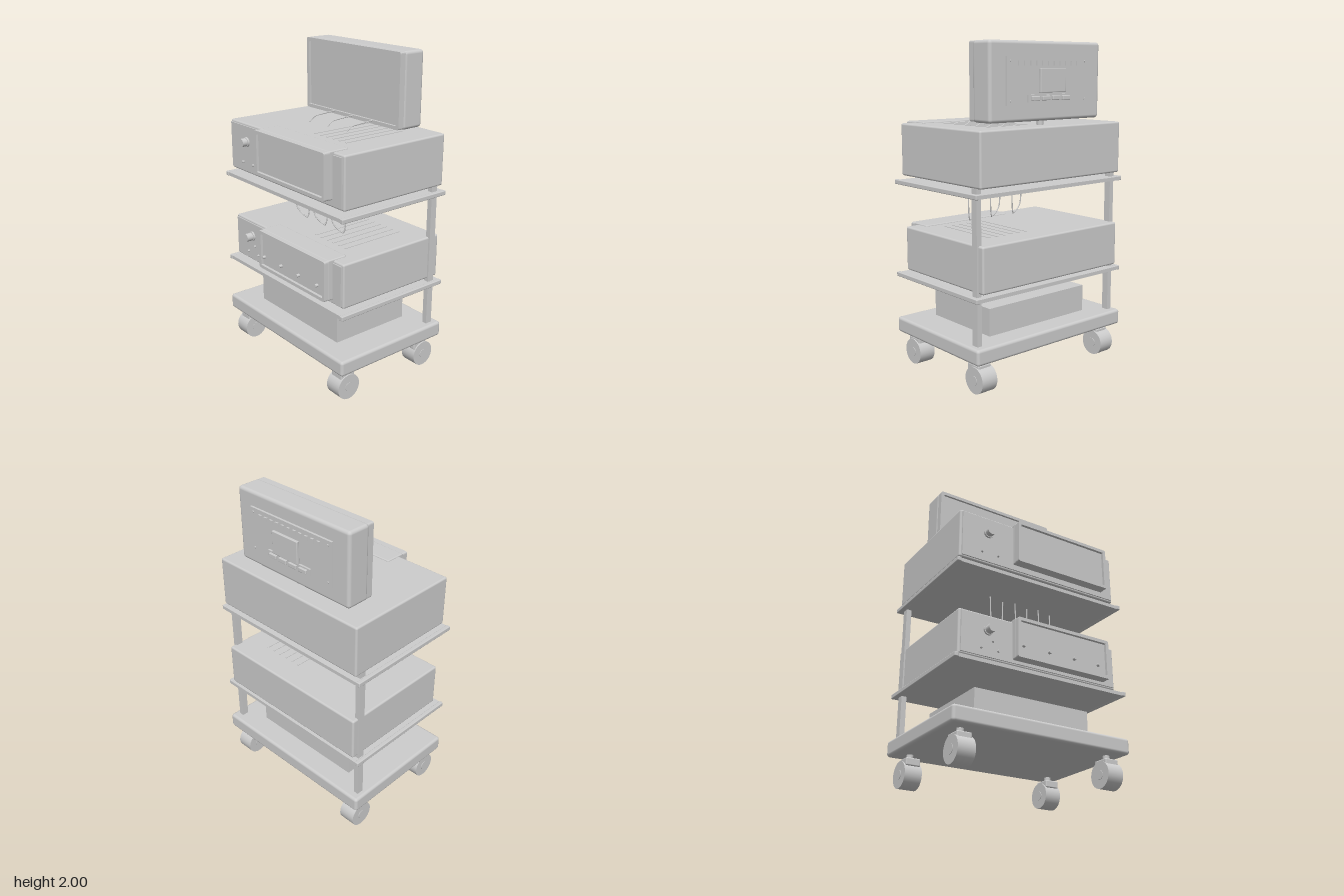
import * as THREE from 'three';
import { RoundedBoxGeometry } from 'three/addons/geometries/RoundedBoxGeometry.js';

export function createModel() {
  const model = new THREE.Group();
  model.name = 'equipmentCart';
  const grey = new THREE.MeshStandardMaterial({ color: 0xcccccc });
  grey.name = 'lightGrey';

  function add(name, geometry, parent = model) {
    const mesh = new THREE.Mesh(geometry, grey);
    mesh.name = name;
    parent.add(mesh);
    return mesh;
  }
  // Box given by its limits on each axis; r rounds the edges
  function box(name, x0, x1, y0, y1, z0, z1, r = 0, parent = model) {
    const s = [x1 - x0, y1 - y0, z1 - z0];
    const g = r ? new RoundedBoxGeometry(...s, 3, r) : new THREE.BoxGeometry(...s);
    const mesh = add(name, g, parent);
    mesh.position.set((x0 + x1) / 2, (y0 + y1) / 2, (z0 + z1) / 2);
    return mesh;
  }
  // Cylinder along z
  function button(name, x, y, z0, z1, r, parent = model) {
    const g = new THREE.CylinderGeometry(r, r, z1 - z0, 20).rotateX(Math.PI / 2);
    add(name, g, parent).position.set(x, y, (z0 + z1) / 2);
  }
  // Flat rectangular frame with rounded corners, extruded from z0 to z1
  function rectPath(path, x0, x1, y0, y1, r) {
    path.moveTo(x0 + r, y0);
    path.lineTo(x1 - r, y0).quadraticCurveTo(x1, y0, x1, y0 + r);
    path.lineTo(x1, y1 - r).quadraticCurveTo(x1, y1, x1 - r, y1);
    path.lineTo(x0 + r, y1).quadraticCurveTo(x0, y1, x0, y1 - r);
    path.lineTo(x0, y0 + r).quadraticCurveTo(x0, y0, x0 + r, y0);
    return path;
  }
  function frame(name, x0, x1, y0, y1, z0, z1, w, parent = model) {
    const shape = rectPath(new THREE.Shape(), x0, x1, y0, y1, 0.012);
    shape.holes.push(rectPath(new THREE.Path(), x0 + w, x1 - w, y0 + w, y1 - w, 0.004));
    const g = new THREE.ExtrudeGeometry(shape, { depth: z1 - z0, bevelEnabled: false, curveSegments: 4 });
    add(name, g, parent).position.z = z0;
  }
  function cable(name, points) {
    const curve = new THREE.CatmullRomCurve3(points.map((p) => new THREE.Vector3(...p)), false, 'catmullrom', 0.3);
    add(name, new THREE.TubeGeometry(curve, 24, 0.004, 6));
  }

  // Casters
  for (const x of [-0.492, 0.487]) {
    for (const [z, stemZ] of [[0.29, 0.29], [-0.33, -0.31]]) {
      const caster = new THREE.Group();
      caster.name = 'caster';
      model.add(caster);
      const wheel = add('wheel', new THREE.CylinderGeometry(0.08, 0.08, 0.108, 28).rotateZ(Math.PI / 2), caster);
      wheel.position.set(x, 0.08, z);
      const hub = add('hub', new THREE.CylinderGeometry(0.028, 0.028, 0.114, 16).rotateZ(Math.PI / 2), caster);
      hub.position.set(x, 0.08, z);
      box('casterHousing', x - 0.046, x + 0.046, 0.125, 0.172, stemZ - 0.052, stemZ + 0.052, 0.008, caster);
      add('stem', new THREE.CylinderGeometry(0.02, 0.02, 0.05, 16), caster).position.set(x, 0.185, stemZ);
    }
  }

  // Base platform, lower case and rear posts
  box('basePlatform', -0.59, 0.59, 0.2, 0.297, -0.43, 0.387, 0.018);
  box('lowerCase', -0.39, 0.387, 0.295, 0.465, -0.285, 0.255);
  for (const x of [-0.54, 0.537]) box('post', x - 0.016, x + 0.016, 0.29, 1.21, -0.38, -0.336);

  // Shelves with side rails and end caps
  for (const y of [0.562, 1.146]) {
    box('shelf', -0.57, 0.57, y + 0.002, y + 0.024, -0.42, 0.38);
    for (const s of [-1, 1]) {
      box('shelfRail', s * 0.575 - 0.013, s * 0.575 + 0.013, y, y + 0.028, -0.42, 0.385, 0.005);
    }
  }

  // Devices: body, feet, protruding front panel, controls and top vents
  function device(d) {
    const g = new THREE.Group();
    g.name = d.name;
    model.add(g);
    box('deviceBody', d.x0, d.x1, d.y0, d.y1, -0.42, d.z, 0.012, g);
    box('fascia', d.x0 + 0.014, d.x1 - 0.014, d.y0 + 0.014, d.y1 - 0.014, d.z - 0.02, d.z + 0.008, 0, g);
    box('panelHousing', -0.198, d.p1, d.p0, d.y1 + 0.008, 0.243, 0.378, 0.008, g);
    frame('panelFrame', -0.198, d.p1, d.p0, d.y1 + 0.006, 0.374, d.front, 0.02, g);
    box('panelFace', -0.175, d.p1 - 0.023, d.p0 + 0.023, d.y1 - 0.017, 0.37, d.front - 0.014, 0, g);
    button('knob', d.knob[0], d.knob[1], d.z, 0.4, 0.026, g);
    button('knobCollar', d.knob[0], d.knob[1], d.z, d.z + 0.02, 0.031, g);
    for (const [x, y] of d.buttons) button('smallButton', x, y, d.z, d.z + 0.022, 0.007, g);
    for (const x of d.ports) button('port', x, 0.715, d.front - 0.016, d.front + 0.006, 0.01, g);
    for (const x of [-0.39, 0.38]) {
      for (const z of [0.185, -0.27]) {
        add('foot', new THREE.CylinderGeometry(0.02, 0.02, 0.025, 16), g).position.set(x, d.y0 - 0.008, z);
      }
    }
    for (let i = 0; i < 6; i++) {
      const x = 0.08 + i * 0.056;
      box('ventStrip', x - 0.006, x + 0.006, d.y1 - 0.002, d.y1 + 0.003, -0.26, 0.175, 0, g);
    }
  }
  device({
    name: 'lowerDevice', x0: -0.547, x1: 0.542, y0: 0.605, y1: 0.88, z: 0.338, p0: 0.638, p1: 0.455, front: 0.407,
    knob: [-0.36, 0.78], buttons: [[-0.33, 0.718], [-0.405, 0.665], [-0.295, 0.665]],
    ports: [-0.155, 0.022, 0.198, 0.375],
  });
  device({
    name: 'upperDevice', x0: -0.56, x1: 0.557, y0: 1.2, y1: 1.518, z: 0.348, p0: 1.248, p1: 0.465, front: 0.417,
    knob: [-0.373, 1.405], buttons: [[-0.415, 1.27], [-0.305, 1.27]], ports: [],
  });

  // Monitor
  const monitor = new THREE.Group();
  monitor.name = 'monitor';
  model.add(monitor);
  box('monitorBody', -0.437, 0.433, 1.545, 2.0, -0.35, -0.198, 0.02, monitor);
  frame('bezel', -0.433, 0.428, 1.549, 1.998, -0.21, -0.165, 0.022, monitor);
  box('screen', -0.412, 0.407, 1.57, 1.977, -0.205, -0.18, 0, monitor);
  add('stand', new THREE.CylinderGeometry(0.02, 0.02, 0.05, 16), monitor).position.set(0, 1.533, -0.29);

  // Rear plate with vents, mount, connectors and screws
  box('rearPlate', -0.322, 0.32, 1.64, 1.912, -0.364, -0.345, 0, monitor);
  for (let i = 0; i < 11; i++) {
    const x = -0.23 + i * 0.046;
    box('rearVent', x - 0.011, x + 0.011, 1.86, 1.888, -0.374, -0.36, 0, monitor);
  }
  box('mountPlate', -0.1, 0.1, 1.71, 1.848, -0.403, -0.384, 0.004, monitor);
  box('mountNeck', -0.075, 0.075, 1.73, 1.83, -0.386, -0.36, 0, monitor);
  box('connectorStrip', -0.17, 0.17, 1.655, 1.698, -0.376, -0.36, 0, monitor);
  for (const x of [-0.12, -0.04, 0.04, 0.12]) {
    box('connector', x - 0.03, x + 0.03, 1.665, 1.69, -0.39, -0.37, 0.004, monitor);
  }
  for (const x of [-0.295, 0.293]) {
    for (const y of [1.665, 1.887]) button('screw', x, y, -0.369, -0.36, 0.007, monitor);
  }

  // Cables from the monitor to the upper device, and loops under the upper shelf
  for (const x of [-0.175, 0, 0.178]) {
    cable('monitorCable', [[x + 0.022, 1.567, -0.165], [x + 0.014, 1.56, -0.08], [x + 0.005, 1.55, -0.02], [x, 1.515, 0.022]]);
  }
  for (const x of [-0.2, -0.02, 0.155]) {
    cable('hangingCable', [[x, 1.16, 0.095], [x, 0.99, 0.108], [x + 0.03, 0.945, 0.1], [x + 0.085, 0.92, 0.085],
      [x + 0.098, 1.0, 0.078], [x + 0.105, 1.16, 0.072]]);
  }
  return model;
}
